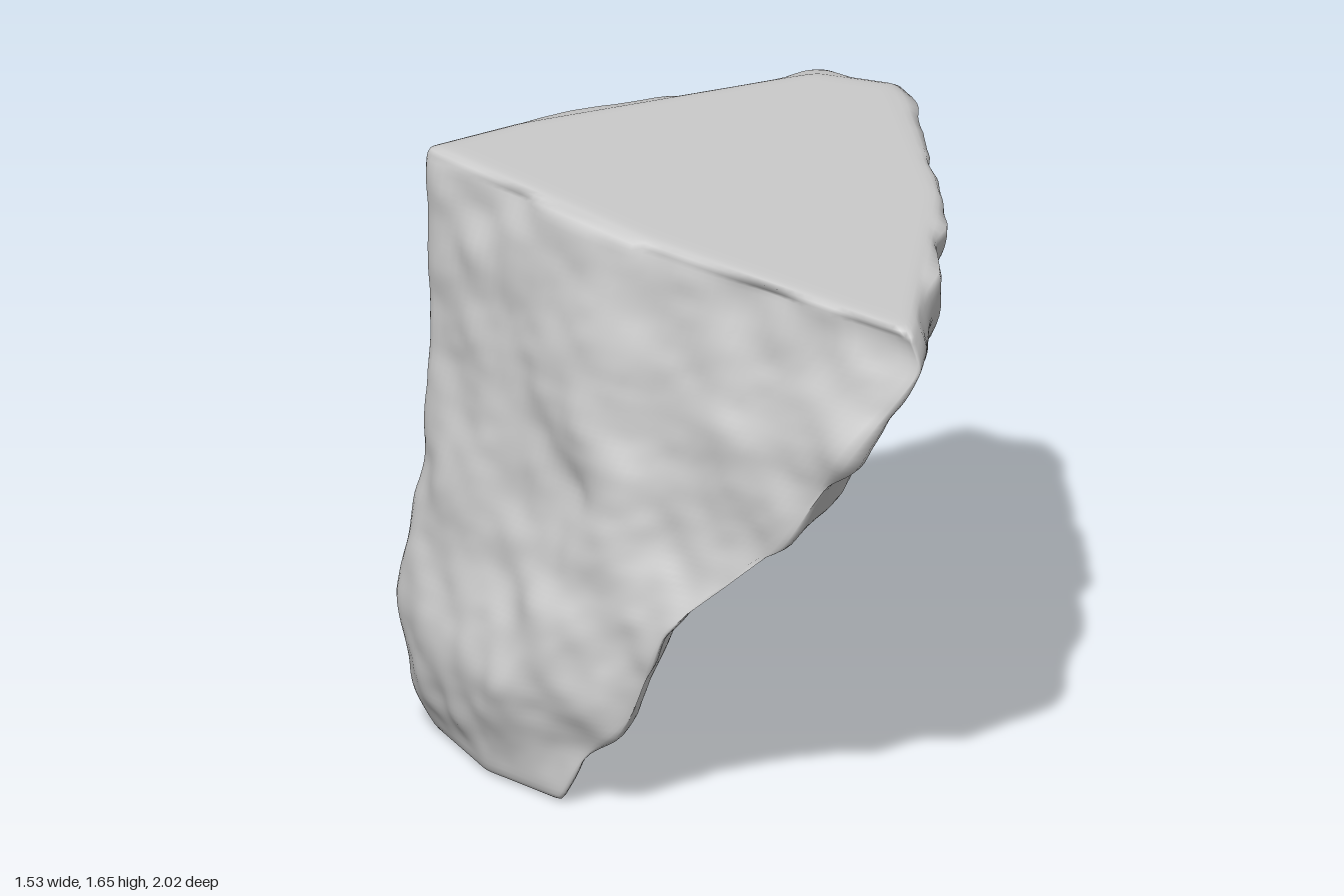
import * as THREE from 'three';

// Edge lines of the rock, counterclockwise seen from above: [y, x, z] from base to top
const EDGES = [
  // left edge
  [[0, -.68, .15], [.12, -.75, .14], [.36, -.81, .13], [.65, -.75, .12], [1.05, -.71, .11], [1.62, -.73, .1]],
  // middle of the front face
  [[0, -.5, .43], [.3, -.46, .56], [.85, -.2, .62], [1.62, -.06, .57]],
  // front right edge
  [[0, -.27, .6], [.14, -.2, .64], [.3, -.05, .74], [.6, .05, .82], [.9, .38, .9], [1.22, .58, .99], [1.5, .78, 1], [1.62, .73, .99]],
  // middle of the right face
  [[0, -.27, .08], [.3, -.12, .05], [.6, .07, .02], [1, .42, 0], [1.62, .67, .04]],
  // back right edge
  [[0, -.36, -.47], [.3, -.28, -.69], [.75, .03, -.88], [1.15, .29, -.81], [1.62, .44, -.65]],
  // back edge
  [[0, -.45, -.44], [.3, -.37, -.65], [.75, -.09, -.87], [1.15, .12, -.8], [1.62, .22, -.67]],
  // ridge between the broken back face and the smooth cleavage face
  [[0, -.49, -.34], [.3, -.42, -.56], [.55, -.34, -.64], [1, -.46, -.42], [1.62, -.5, -.13]],
];
const SEG = 28, SIDE = 90, CAP = 26, TOP = 1.62;
const COLS = EDGES.length * SEG;
const { lerp, smoothstep } = THREE.MathUtils;

function edgeAt(edge, y) {
  let i = 1;
  while (i < edge.length - 1 && edge[i][0] < y) i++;
  const a = edge[i - 1], b = edge[i], t = (y - a[0]) / (b[0] - a[0]);
  return new THREE.Vector3(lerp(a[1], b[1], t), y, lerp(a[2], b[2], t));
}

function ringAt(y) {
  const corners = EDGES.map(e => edgeAt(e, y));
  return Array.from({ length: COLS }, (_, c) => {
    const k = Math.floor(c / SEG);
    return corners[k].clone().lerp(corners[(k + 1) % corners.length], (c % SEG) / SEG);
  });
}

// Rings that shrink toward the middle of a ring
function capRings(ring) {
  const mid = new THREE.Vector3();
  ring.forEach(p => mid.addScaledVector(p, 1 / COLS));
  return Array.from({ length: CAP }, (_, i) => ring.map(p => p.clone().lerp(mid, (i + 1) / CAP)));
}

// Smooth value noise, -1 to 1
function hash(x, y, z) {
  let h = Math.imul(x, 374761393) + Math.imul(y, 668265263) + Math.imul(z, 1274126177);
  h = Math.imul(h ^ (h >>> 13), 1103515245);
  return ((h ^ (h >>> 16)) >>> 0) / 2147483648 - 1;
}
function noise(x, y, z) {
  const ix = Math.floor(x), iy = Math.floor(y), iz = Math.floor(z);
  const fade = t => t * t * (3 - 2 * t);
  const u = fade(x - ix), v = fade(y - iy), w = fade(z - iz);
  let sum = 0;
  for (let i = 0; i < 8; i++) {
    const a = i & 1, b = (i >> 1) & 1, c = i >> 2;
    sum += hash(ix + a, iy + b, iz + c) * (a ? u : 1 - u) * (b ? v : 1 - v) * (c ? w : 1 - w);
  }
  return sum;
}

// Average neighbouring points to round the edges
function soften(rings) {
  return rings.map((ring, r) => (r === 0 || r === rings.length - 1) ? ring : ring.map((p, c) =>
    p.clone().multiplyScalar(4)
      .add(ring[(c + 1) % COLS]).add(ring[(c + COLS - 1) % COLS])
      .add(rings[r - 1][c]).add(rings[r + 1][c]).divideScalar(8)));
}

// Blunt spur sticking out of the back
function pullSpur(p) {
  if (p.z > -.5) return;
  const dy = p.y - .94, height = dy > 0 ? .09 : .12;
  const pull = Math.exp(-((dy / height) ** 2) - ((p.x - .1) / .13) ** 4);
  p.z -= .17 * pull;
  p.x += .04 * pull;
}

function rockGeometry() {
  const sides = Array.from({ length: SIDE + 1 }, (_, i) => ringAt(TOP * i / SIDE));
  let rings = [...capRings(sides[0]).reverse(), ...sides, ...capRings(sides[SIDE])];
  for (let i = 0; i < 8; i++) rings = soften(rings);
  rings.flat().forEach(pullSpur);

  const index = [];
  for (let r = 0; r < rings.length - 1; r++) {
    for (let c = 0; c < COLS; c++) {
      const d = (c + 1) % COLS, a = r * COLS, b = a + COLS;
      index.push(a + c, a + d, b + d, a + c, b + d, b + c);
    }
  }
  const geo = new THREE.BufferGeometry().setFromPoints(rings.flat());
  geo.setIndex(index);
  geo.computeVertexNormals();

  // Rough broken faces; the cleavage face, top and base stay nearly flat
  const pos = geo.attributes.position, nor = geo.attributes.normal;
  const p = new THREE.Vector3(), n = new THREE.Vector3();
  const cleavage = EDGES.length - .5;
  for (let i = 0; i < pos.count; i++) {
    p.fromBufferAttribute(pos, i);
    n.fromBufferAttribute(nor, i);
    const column = (i % COLS) / SEG;
    const away = Math.min(Math.abs(column - cleavage), column + .5);
    const rough = (.1 + .9 * smoothstep(away, .3, .7))
      * (1 - smoothstep(n.y, .3, .85)) * smoothstep(p.y, 0, .12);
    const bump = .034 * noise(p.x * 4 + 9, p.y * 4 + p.z, p.z * 4)
      + .017 * noise(p.x * 9, p.y * 9 + p.z * 2 + 5, p.z * 9)
      + .003 * noise(p.x * 20, p.y * 20, p.z * 20 + 3);
    p.addScaledVector(n, bump * rough);
    p.y -= .05 * p.x * p.y / TOP; // top dips toward +x
    pos.setXYZ(i, p.x, p.y, p.z);
  }
  geo.computeVertexNormals();
  return geo;
}

export function createModel() {
  const group = new THREE.Group();
  group.name = 'rock';
  const rock = new THREE.Mesh(rockGeometry(), new THREE.MeshStandardMaterial({ color: 0xcccccc }));
  rock.name = 'boulder';
  group.add(rock);
  return group;
}
